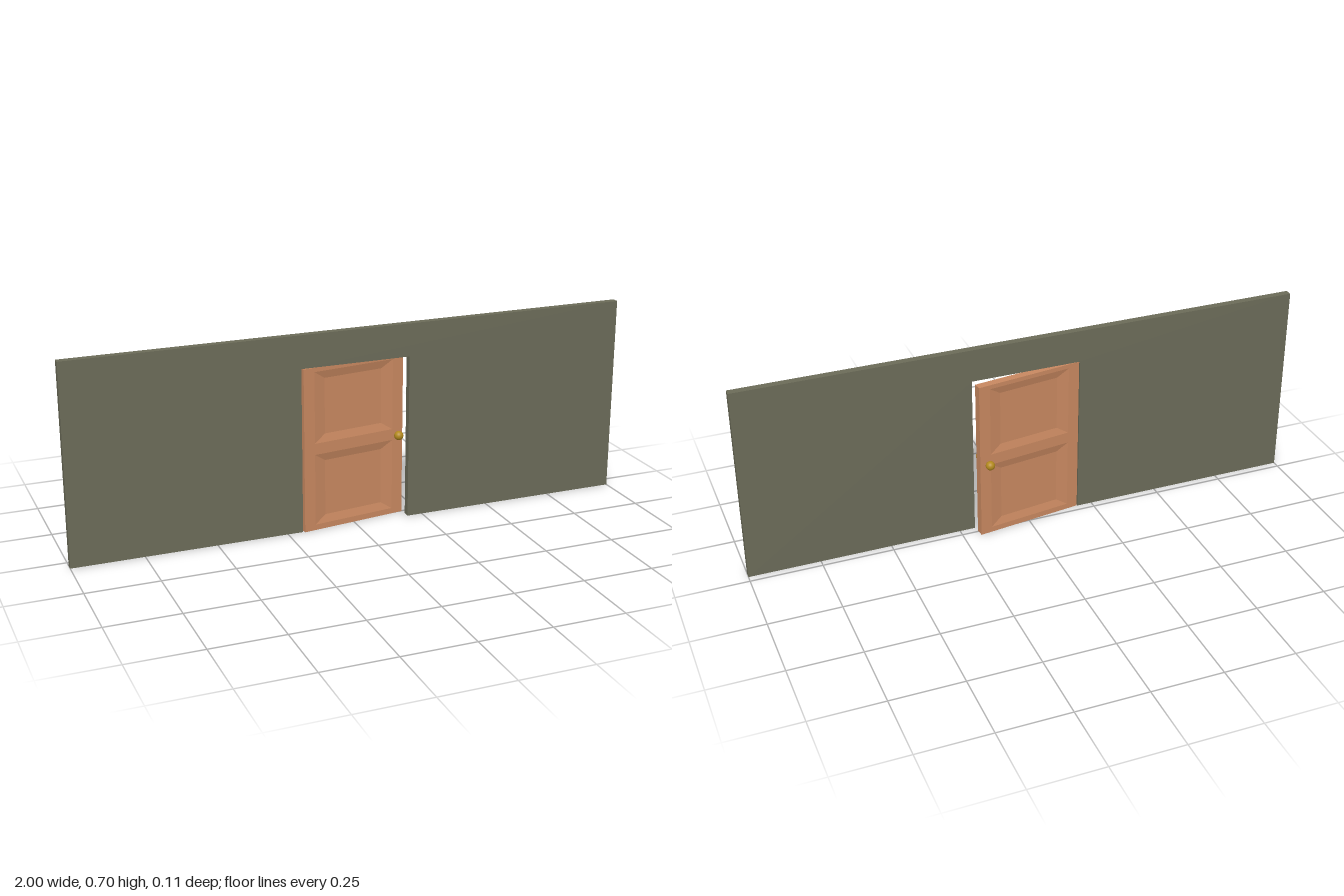
import * as THREE from 'three';
import { mergeGeometries } from 'three/addons/utils/BufferGeometryUtils.js';

const W = 0.385, H = 0.583, T = 0.028;   // door leaf
const SWING = 0.135;                     // door is slightly ajar

function rectPoints(x0, y0, x1, y1) {
  return [[x0, y0], [x1, y0], [x1, y1], [x0, y1]].map(([x, y]) => new THREE.Vector2(x, y));
}

// Recessed panel: four sloping borders around a sunken flat field
function panelGeometry(x0, y0, x1, y1, bevelX, bevelY, depth) {
  const outer = rectPoints(x0, y0, x1, y1);
  const inner = rectPoints(x0 + bevelX, y0 + bevelY, x1 - bevelX, y1 - bevelY);
  const pos = [];
  const quad = (a, b, c, d) => [a, b, c, a, c, d].forEach(([p, z]) => pos.push(p.x, p.y, z));
  for (let i = 0; i < 4; i++) {
    const j = (i + 1) % 4;
    quad([outer[i], 0], [outer[j], 0], [inner[j], -depth], [inner[i], -depth]);
  }
  quad(...inner.map((p) => [p, -depth]));
  const geo = new THREE.BufferGeometry();
  geo.setAttribute('position', new THREE.Float32BufferAttribute(pos, 3));
  geo.computeVertexNormals();
  return geo;
}

// One side of the door, centred on x, with two recessed panels
function doorFaceGeometry() {
  const panels = [[0.02, 0.275], [0.315, 0.568]];
  const px = 0.152;
  const shape = new THREE.Shape(rectPoints(-W / 2, 0, W / 2, H));
  const parts = panels.map(([y0, y1]) => {
    shape.holes.push(new THREE.Path(rectPoints(-px, y0, px, y1)));
    return panelGeometry(-px, y0, px, y1, 0.042, 0.028, 0.007);
  });
  const flat = new THREE.ShapeGeometry(shape).toNonIndexed();
  flat.deleteAttribute('uv');
  return mergeGeometries([flat, ...parts]).translate(0, 0, T / 2);
}

export function createModel() {
  const model = new THREE.Group();
  const wallMat = new THREE.MeshStandardMaterial({ color: 0x6b6b58 });
  const doorMat = new THREE.MeshStandardMaterial({ color: 0xc88860 });
  const brassMat = new THREE.MeshStandardMaterial({ color: 0xb38a1e });

  const add = (parent, name, geo, mat) => {
    const mesh = new THREE.Mesh(geo, mat);
    mesh.name = name;
    parent.add(mesh);
    return mesh;
  };

  // Wall with a doorway open at the floor
  const outline = [[-1, 0], [-0.196, 0], [-0.196, 0.584], [0.195, 0.584], [0.195, 0], [1, 0], [1, 0.7], [-1, 0.7]];
  const wallShape = new THREE.Shape(outline.map(([x, y]) => new THREE.Vector2(x, y)));
  const wallGeo = new THREE.ExtrudeGeometry(wallShape, { depth: 0.025, bevelEnabled: false });
  add(model, 'wall', wallGeo, wallMat).position.z = 0.025;

  // Door leaf, pivoting on its front hinge corner
  const door = new THREE.Group();
  door.name = 'door';
  door.position.set(-0.19, 0, 0.055);
  door.rotation.y = SWING;
  model.add(door);

  const leaf = new THREE.Group();
  leaf.name = 'doorLeaf';
  leaf.position.set(W / 2, 0, -T / 2);
  door.add(leaf);

  const face = doorFaceGeometry();
  add(leaf, 'frontFace', face, doorMat);
  add(leaf, 'backFace', face, doorMat).rotation.y = Math.PI;

  // Only the four narrow sides of the box
  const edges = new THREE.BoxGeometry(W, H, T).translate(0, H / 2, 0);
  edges.setIndex(Array.from(edges.index.array.slice(0, 24)));
  add(leaf, 'doorEdges', edges, doorMat);

  // Round knobs on both sides
  const knobGeo = new THREE.SphereGeometry(0.016, 32, 20);
  add(door, 'frontKnob', knobGeo, brassMat).position.set(0.362, 0.293, 0.015);
  add(door, 'backKnob', knobGeo, brassMat).position.set(0.356, 0.284, -0.0455);

  return model;
}
